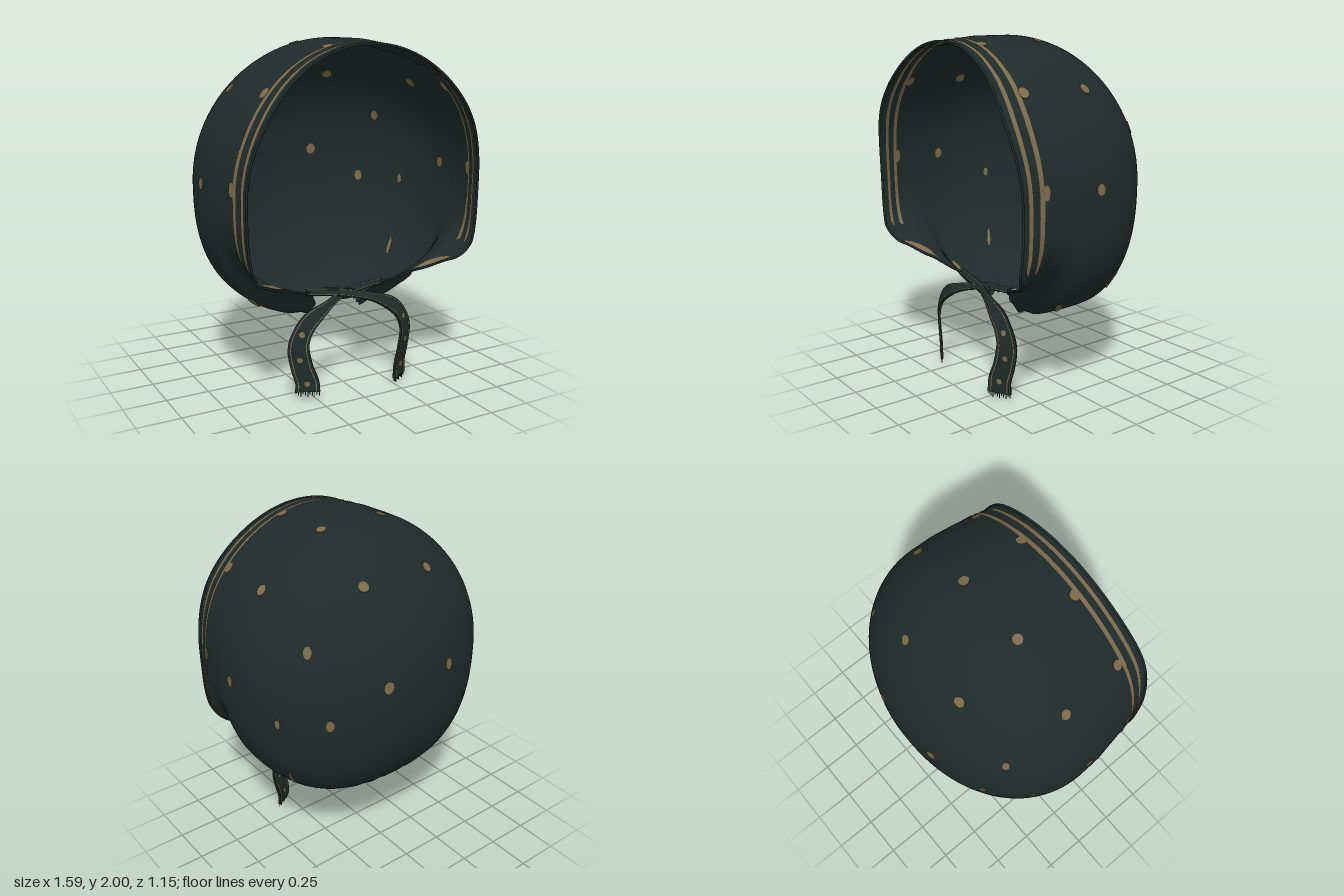
import * as THREE from 'three';
import { mergeVertices } from 'three/addons/utils/BufferGeometryUtils.js';

const cloth = new THREE.MeshStandardMaterial({ color: 0x1e2b2a, side: THREE.DoubleSide });
cloth.name = 'darkCloth';
const tan = new THREE.MeshStandardMaterial({ color: 0x7b6a4b, side: THREE.DoubleSide });
tan.name = 'tanPrint';

const Z_BACK = -0.575, Z_RIM = 0.535, MID_Y = 1.2;
const V = (x, y, z) => new THREE.Vector3(x, y, z);

// Piecewise interpolation through [position, value] pairs
function lookup(table, t, smooth = false) {
  if (t <= table[0][0]) return table[0][1];
  for (let i = 1; i < table.length; i++) {
    const [a, va] = table[i - 1], [b, vb] = table[i];
    if (t <= b) {
      let k = (t - a) / (b - a);
      if (smooth) k = k * k * (3 - 2 * k);
      return va + (vb - va) * k;
    }
  }
  return table[table.length - 1][1];
}

const WIDTH = [[0.05, 0.79], [0.2, 0.785], [0.4, 0.752], [0.5, 0.722], [0.535, 0.722]];
const TOP = [[0.1, 0.8], [0.3, 0.797], [0.535, 0.77]];
const BOTTOM = [[0.13, 0.785], [0.29, 0.62], [0.36, 0.6], [0.45, 0.56], [0.535, 0.6]];
const SQUARENESS = [[0.34, 2.5], [0.5, 4]];
const OPENING = [[-0.19, 0], [-0.17, 0.09], [-0.1, 0.17], [0, 0.21], [0.1, 0.19], [0.2, 0.15],
  [0.28, 0.24], [0.36, 0.42], [0.45, 0.58], [0.5, 0.655], [0.535, 0.695]];

// Rounded growth from the back pole until depth c
const swell = (z, c) => z >= c ? 1 : Math.sqrt(Math.max(0, 1 - ((c - z) / (c - Z_BACK)) ** 2));

// Bonnet surface: z picks the slice, u runs -1..1 from one lower edge over the crown to the other
function surface(u, z) {
  const w = lookup(WIDTH, z) * swell(z, 0.05);
  const top = lookup(TOP, z) * swell(z, 0.1);
  const bottom = lookup(BOTTOM, z, true) * swell(z, -0.1);
  const n = lookup(SQUARENESS, z, true);
  const r = w > 0 ? Math.min(1, lookup(OPENING, z) / w) : 0;
  const low = Math.acos(r ** (n / 2));
  const a = Math.PI / 2 - Math.abs(u) * (Math.PI / 2 + low);
  const c = Math.max(0, Math.cos(a)), s = Math.sin(a);
  const p = s >= 0
    ? V(w * c, MID_Y + top * s, z)
    : V(w * c ** (2 / n), MID_Y - bottom * (-s) ** (2 / n), z);
  if (u < 0) p.x = -p.x;
  // Rim bulges forward beside the brow
  if (z > 0) p.z += 0.037 * (z / Z_RIM) ** 3 * Math.exp(-(((p.y - 1.6) / 0.25) ** 2));
  // Gathered pleats around the neck
  if (p.y < 0.9) {
    const d = Math.hypot(p.x, p.z);
    const fade = THREE.MathUtils.clamp(1 - (d - 0.18) / 0.3, 0, 1);
    p.y += 0.016 * fade * fade * Math.sin(20 * Math.atan2(Math.abs(p.x), p.z));
  }
  return p;
}

function lifted(u, z, amount) {
  const e = 0.004;
  const dz = surface(u, z + e).sub(surface(u, z - e));
  const du = surface(u + e, z).sub(surface(u - e, z));
  return surface(u, z).addScaledVector(dz.cross(du).normalize(), amount);
}

// Largest u in a slice that stays above height y
function reach(z, y) {
  let u = 0.4;
  while (u < 0.995 && surface(u, z).y > y) u += 0.005;
  return u;
}

// Grid of points fn(i, j) made into a smooth sheet
function sheet(rows, cols, fn) {
  const pos = [], index = [];
  for (let i = 0; i <= rows; i++)
    for (let j = 0; j <= cols; j++) pos.push(...fn(i / rows, j / cols).toArray());
  for (let i = 0; i < rows; i++)
    for (let j = 0; j < cols; j++) {
      const a = i * (cols + 1) + j, b = a + cols + 1;
      index.push(a, b, a + 1, b, b + 1, a + 1);
    }
  let g = new THREE.BufferGeometry();
  g.setAttribute('position', new THREE.Float32BufferAttribute(pos, 3));
  g.setIndex(index);
  g = mergeVertices(g, 1e-5);
  g.computeVertexNormals();
  return g;
}

// Width direction of a strap: its outer edge (side k) is turned back
const acrossStrap = (d, k) => V(-d.y, d.x, 0).normalize().setZ(-0.6 * k).normalize();

// Flat ribbon along a curve; offset shifts it across the width
function ribbon(curve, k, widthAt, offset, share, thick) {
  const corners = [[-1, -1], [1, -1], [1, 1], [-1, 1], [-1, -1]];
  const g = sheet(40, 4, (s, t) => {
    const p = curve.getPoint(s), d = curve.getTangent(s);
    const across = acrossStrap(d, k), face = d.clone().cross(across).normalize();
    const [c, f] = corners[Math.round(t * 4)];
    const w = widthAt(s) / 2;
    return p.addScaledVector(across, w * (offset + c * share)).addScaledVector(face, f * thick / 2);
  }).toNonIndexed();
  g.computeVertexNormals();
  return g;
}

export function createModel() {
  const model = new THREE.Group();
  model.name = 'bonnet';
  const add = (name, geometry, material, parent = model) => {
    const m = new THREE.Mesh(geometry, material);
    m.name = name;
    parent.add(m);
    return m;
  };

  // Hood
  const zAt = t => t < 0.45
    ? 0.05 - 0.625 * Math.cos(t / 0.45 * Math.PI / 2)
    : 0.05 + (Z_RIM - 0.05) * (t - 0.45) / 0.55;
  const hood = sheet(80, 200, (t, s) => surface(s * 2 - 1, zAt(t)));
  add('hood', hood, cloth);

  // Rolled hem along the face opening
  const side = [];
  for (let z = 0.24; z < 0.53; z += 0.03) side.push(z);
  const hemPoints = side.map(z => surface(-1, z));
  for (let i = 0; i <= 60; i++) hemPoints.push(surface(i / 30 - 1, Z_RIM));
  side.slice().reverse().forEach(z => hemPoints.push(surface(1, z)));
  add('hem', new THREE.TubeGeometry(new THREE.CatmullRomCurve3(hemPoints), 200, 0.007, 6), cloth);

  // Printed stripes by the rim and crescents under the cheeks, on both faces of the cloth
  for (const lift of [0.004, -0.004]) {
    for (const [z0, z1] of [[0.42, 0.443], [0.48, 0.5]]) {
      const end = reach(z0, 0.82);
      add('rimStripe', sheet(2, 160, (t, s) => lifted((s * 2 - 1) * end, z0 + (z1 - z0) * t, lift)), tan);
    }
    for (const k of [-1, 1])
      add('cheekCrescent', sheet(24, 3, (t, s) =>
        lifted(k * (0.982 - 0.05 * s * Math.sin(Math.PI * t)), 0.31 + 0.15 * t, lift)), tan);
  }

  // Printed dots, set flush with the nearest cloth and showing on both faces
  const pos = hood.attributes.position, nor = hood.attributes.normal;
  function dot(x, y, z, rx, ry) {
    const target = V(x, y, z), p = V(0, 0, 0);
    let best = 0, bestD = Infinity;
    for (let i = 0; i < pos.count; i++) {
      const d = p.fromBufferAttribute(pos, i).distanceToSquared(target);
      if (d < bestD) { bestD = d; best = i; }
    }
    p.fromBufferAttribute(pos, best);
    const n = V(0, 0, 0).fromBufferAttribute(nor, best);
    target.addScaledVector(n, -target.clone().sub(p).dot(n));
    const m = add('dot', new THREE.CylinderGeometry(1, 1, 0.008, 14), tan);
    const level = V(0, 1, 0).cross(n).normalize();
    m.quaternion.setFromRotationMatrix(new THREE.Matrix4().makeBasis(level, n, level.clone().cross(n)));
    m.position.copy(target);
    m.scale.set(rx, 1, ry);
  }
  const dots = [[0.21, 1.28, -0.54, 0.029, 0.035], [0.22, 1.79, -0.35, 0.029, 0.029],
    [0.57, 1.51, -0.33, 0.022, 0.034], [0.5, 1.1, -0.42, 0.023, 0.034], [0.71, 1.09, -0.235, 0.014, 0.028],
    [0.205, 1.98, 0.04, 0.028, 0.028], [0.6, 1.74, 0.035, 0.028, 0.032], [0.79, 1.235, 0.09, 0.026, 0.032],
    [0.2, 1.96, 0.415, 0.03, 0.03], [0.575, 1.74, 0.415, 0.028, 0.035], [0.75, 1.25, 0.415, 0.024, 0.04],
    [0.5, 0.55, 0.13, 0.018, 0.05], [0.6, 0.66, -0.18, 0.01, 0.06]];
  for (const [x, y, z, rx, ry] of dots)
    for (const k of [-1, 1]) dot(k * x, y, z, rx, ry);

  // Knot under the chin
  const knot = add('knot', new THREE.SphereGeometry(1, 20, 12), cloth);
  knot.position.set(0, 0.555, 0.285);
  knot.scale.set(0.07, 0.03, 0.03);

  // Crossed tie straps with edge stripes, dots and fringed ends
  const widthAt = s => lookup([[0, 0.035], [0.2, 0.045], [0.42, 0.1], [0.65, 0.125], [1, 0.14]], s, true);
  for (const k of [-1, 1]) {
    const strap = new THREE.Group();
    strap.name = k > 0 ? 'leftStrap' : 'rightStrap';
    model.add(strap);
    const end = k > 0 ? 0.03 : 0.055;
    const curve = new THREE.CatmullRomCurve3([
      [-0.25, 0.595, 0.27], [0, 0.562, 0.29 + k * 0.012], [0.18, 0.515, 0.355], [0.295, 0.445, 0.37],
      [0.352, 0.33, 0.37], [0.335, 0.2, 0.375], [0.308, 0.11, 0.385], [0.306, end, 0.387],
    ].map(([x, y, z]) => V(k * x, y, z)));
    add('strapBand', ribbon(curve, k, widthAt, 0, 1, 0.012), cloth, strap);
    for (const e of [-0.72, 0.72])
      add('strapStripe', ribbon(curve, k, widthAt, e, 0.045, 0.017), tan, strap);
    for (const t of [0.5, 0.66, 0.87]) {
      const d = add('strapDot', new THREE.CylinderGeometry(0.017, 0.017, 0.018, 10), tan, strap);
      const tangent = curve.getTangent(t);
      d.position.copy(curve.getPoint(t));
      d.quaternion.setFromUnitVectors(V(0, 1, 0), tangent.clone().cross(acrossStrap(tangent, k)).normalize());
    }
    const edge = acrossStrap(V(0, -1, 0), k);
    for (let i = 0; i < 11; i++) {
      const len = 0.03 + 0.008 * (i % 3 - 1);
      const thread = add('fringeThread', new THREE.BoxGeometry(0.004, len, 0.004), cloth, strap);
      thread.position.set(k * 0.306, end + 0.008 - len / 2, 0.387).addScaledVector(edge, (i / 5 - 1) * 0.065);
    }
  }
  return model;
}
